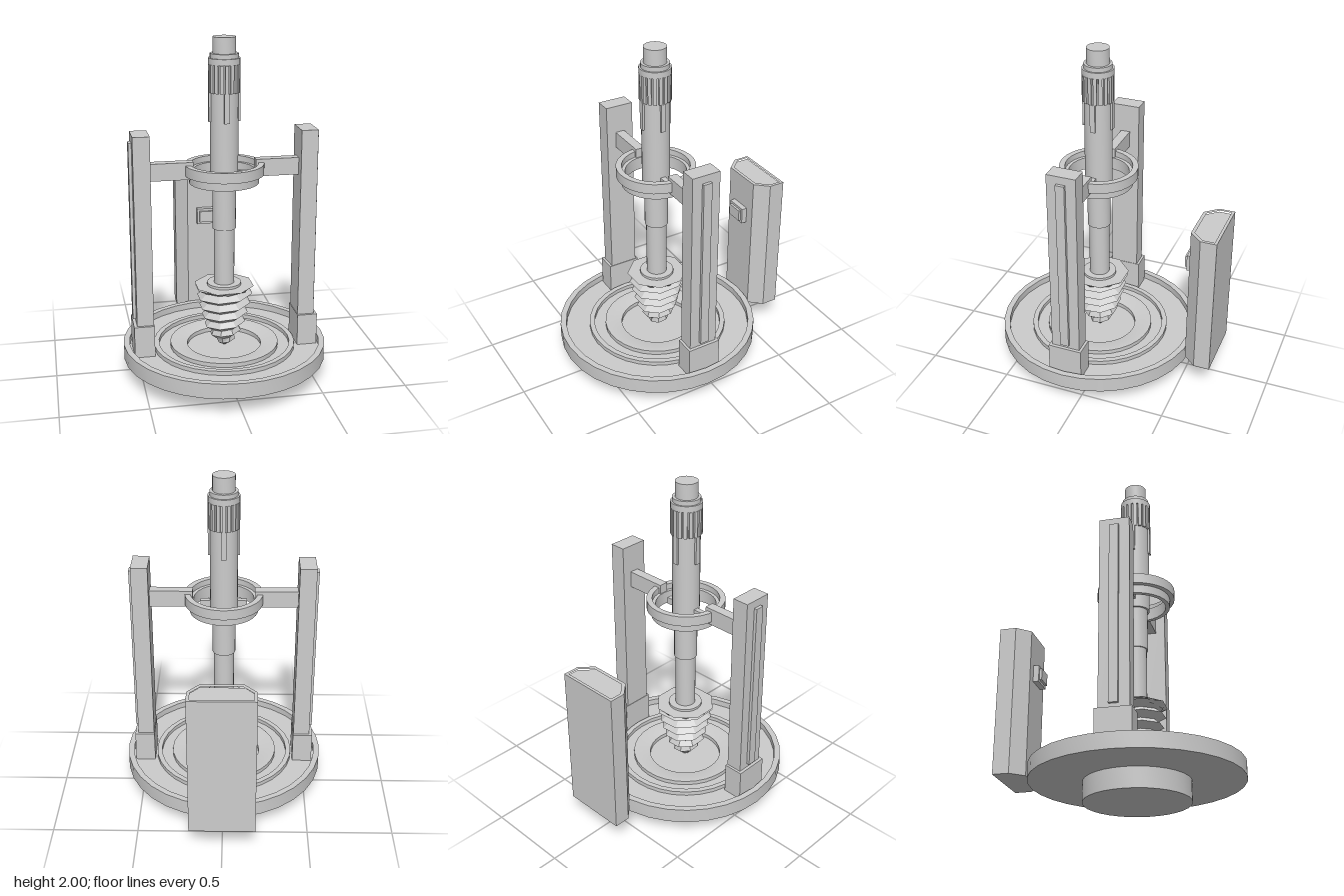
import * as THREE from 'three';
import { toCreasedNormals } from 'three/addons/utils/BufferGeometryUtils.js';

const material = new THREE.MeshStandardMaterial({ color: 0xcccccc });

function add(parent, name, geometry, x = 0, y = 0, z = 0) {
  const mesh = new THREE.Mesh(geometry, material);
  mesh.name = name;
  mesh.position.set(x, y, z);
  parent.add(mesh);
  return mesh;
}

// Box given by its limits on each axis
function block(parent, name, [x0, x1], [y0, y1], [z0, z1]) {
  return add(parent, name, new THREE.BoxGeometry(x1 - x0, y1 - y0, z1 - z0),
    (x0 + x1) / 2, (y0 + y1) / 2, (z0 + z1) / 2);
}

// Turned part; the profile runs up the outside as [radius, height]
function turned(parent, name, profile, sides = 32) {
  const points = profile.map(([r, y]) => new THREE.Vector2(r, y));
  return add(parent, name, toCreasedNormals(new THREE.LatheGeometry(points, sides), 0.5));
}

// Tapered auger: crest and root of the thread wind round as two helices
function augerGeometry(y0, y1, pitch, sides) {
  const envelope = [[y0, 0.015], [0.2, 0.065], [0.3, 0.122], [0.45, 0.16], [y1, 0.178]];
  const radiusAt = (y) => {
    const i = Math.max(1, envelope.findIndex((e) => e[0] >= y));
    const [a, b] = [envelope[i - 1], envelope[i]];
    return THREE.MathUtils.mapLinear(y, a[0], b[0], a[1], b[1]);
  };
  const rows = 2 * Math.ceil((y1 - y0) / pitch + 2);
  const positions = [], indices = [];
  for (let j = 0; j <= rows; j++) {
    for (let i = 0; i <= sides; i++) {
      const angle = (i / sides) * Math.PI * 2;
      const raw = y0 + pitch * (j / 2 - 1 + i / sides);
      const y = THREE.MathUtils.clamp(raw, y0, y1);
      const r = radiusAt(y) * (j % 2 ? 1 : 0.72);
      positions.push(r * Math.sin(angle + 0.4), y, r * Math.cos(angle + 0.4));
      if (i < sides && j < rows) {
        const a = j * (sides + 1) + i, b = a + sides + 1;
        indices.push(a, a + 1, b + 1, a, b + 1, b);
      }
    }
  }
  const geometry = new THREE.BufferGeometry();
  geometry.setAttribute('position', new THREE.Float32BufferAttribute(positions, 3));
  geometry.setIndex(indices);
  const flat = geometry.toNonIndexed();
  flat.computeVertexNormals();
  return flat;
}

// Horizontal outline extruded upwards
function upright(outline, height, hole) {
  const toPoints = (list) => list.map(([x, z]) => new THREE.Vector2(x, -z));
  const shape = new THREE.Shape(toPoints(outline));
  if (hole) shape.holes.push(new THREE.Path(toPoints(hole)));
  return new THREE.ExtrudeGeometry(shape, { depth: height, bevelEnabled: false }).rotateX(-Math.PI / 2);
}

export function createModel() {
  const model = new THREE.Group();
  const rig = new THREE.Group();
  rig.name = 'drillRig';
  rig.position.z = 0.085;
  model.add(rig);

  // Round base with rim, two raised rings and a central pit
  turned(rig, 'base', [
    [0, 0], [0.3, 0], [0.3, 0.115], [0.6, 0.115], [0.6, 0.205], [0.565, 0.205], [0.565, 0.165],
    [0.42, 0.165], [0.42, 0.19], [0.39, 0.19], [0.39, 0.165], [0.322, 0.165], [0.322, 0.19],
    [0.293, 0.19], [0.22, 0.175], [0.22, 0.15], [0, 0.15],
  ]);

  // Side posts with feet, outer rails and arms
  for (const side of [1, -1]) {
    const post = new THREE.Group();
    post.name = side > 0 ? 'leftPost' : 'rightPost';
    post.rotation.y = side > 0 ? 0 : Math.PI;
    rig.add(post);
    block(post, 'foot', [0.427, 0.545], [0.15, 0.355], [-0.1, 0.1]);
    block(post, 'column', [0.43, 0.527], [0.35, 1.475], [-0.085, 0.085]);
    block(post, 'rail', [0.52, 0.545], [0.38, 1.43], [-0.026, 0.026]);
    block(post, 'arm', [0.18, 0.435], [1.205, 1.305], [-0.028, 0.028]);
    block(post, 'guideTab', [0.06, 0.135], [1.2, 1.24], [-0.015, 0.015]);
  }

  // Collar carried by the arms
  turned(rig, 'collar', [
    [0.175, 1.175], [0.2, 1.175], [0.2, 1.225], [0.228, 1.225], [0.228, 1.285],
    [0.195, 1.285], [0.195, 1.25], [0.175, 1.25], [0.175, 1.175],
  ]);

  // Stepped spindle
  turned(rig, 'spindle', [
    [0, 0.5], [0.1, 0.5], [0.1, 0.565], [0.06, 0.565], [0.06, 0.9], [0.068, 0.9], [0.068, 1.15],
    [0.08, 1.15], [0.08, 1.85], [0.09, 1.85], [0.09, 1.885], [0.08, 1.885], [0.08, 1.91],
    [0.064, 1.91], [0.064, 2], [0, 2],
  ], 24);

  // Splines round the chuck and four keys below it
  for (let i = 0; i < 18; i++) {
    const angle = (i / 18) * Math.PI * 2;
    const spline = add(rig, 'spline', new THREE.BoxGeometry(0.02, 0.155, 0.022),
      Math.sin(angle) * 0.079, 1.772, Math.cos(angle) * 0.079);
    spline.rotation.y = angle;
  }
  for (let i = 0; i < 4; i++) {
    const angle = (i * Math.PI) / 2;
    const key = add(rig, 'key', new THREE.BoxGeometry(0.03, 0.165, 0.02),
      Math.sin(angle) * 0.08, 1.612, Math.cos(angle) * 0.08);
    key.rotation.y = angle;
  }

  // Auger bit and its flat top
  add(rig, 'auger', augerGeometry(0.165, 0.55, 0.06, 8));
  add(rig, 'augerTop', new THREE.CylinderGeometry(0.165, 0.15, 0.02, 8), 0, 0.54, 0);

  // Control cabinet behind the base, with chamfered front and sunk top
  const outline = [[-0.19, -0.685], [0.19, -0.685], [0.19, -0.59], [0.122, -0.515], [-0.122, -0.515], [-0.19, -0.59]];
  const recess = [[-0.172, -0.668], [0.172, -0.668], [0.172, -0.6], [0.112, -0.535], [-0.112, -0.535], [-0.172, -0.6]];
  const cabinet = new THREE.Group();
  cabinet.name = 'cabinet';
  model.add(cabinet);
  add(cabinet, 'cabinetBody', upright(outline, 0.855), 0, 0.16, 0);
  add(cabinet, 'cabinetRim', upright(outline, 0.02, recess), 0, 1.015, 0);
  block(cabinet, 'switchPlate', [-0.065, 0.065], [0.74, 0.84], [-0.52, -0.482]);
  block(cabinet, 'switch', [-0.05, 0.05], [0.755, 0.825], [-0.49, -0.468]);

  return model;
}
